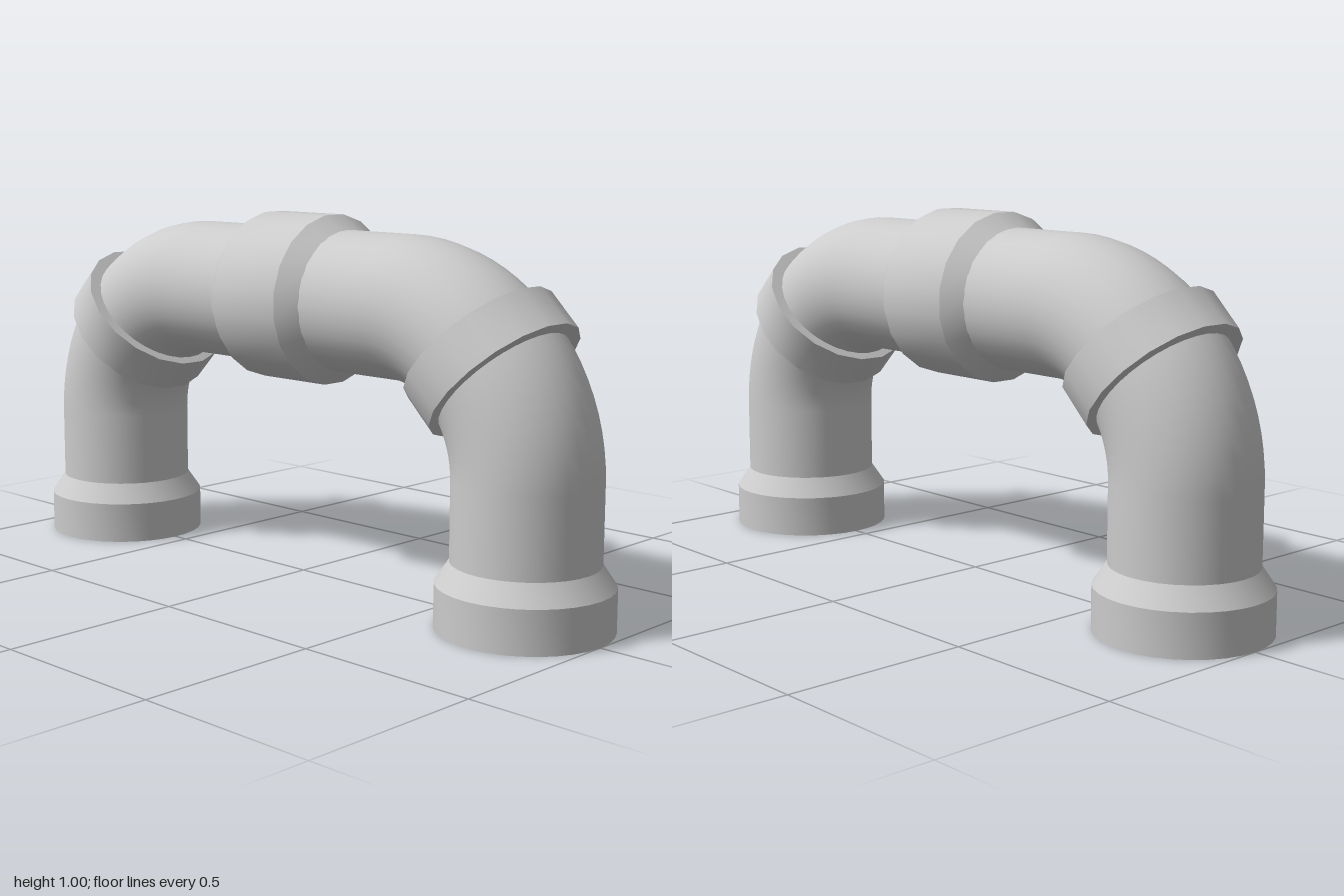
import * as THREE from 'three';
import { toCreasedNormals } from 'three/addons/utils/BufferGeometryUtils.js';

const material = new THREE.MeshStandardMaterial({ color: 0xcccccc });
const PIPE = 0.19;     // pipe radius
const FIT = 0.2275;    // fitting radius
const AXIS = 0.7725;   // distance of the pipe axes from x = 0 and y = 0
const BEND = 0.375;    // bend centre, in x and y

function add(parent, name, geometry, x, y, turn = 0) {
  const mesh = new THREE.Mesh(geometry, material);
  mesh.name = name;
  mesh.position.set(x, y, 0);
  mesh.rotation.z = turn;
  parent.add(mesh);
  return mesh;
}

// Turned fitting from [radius, height] pairs, listed bottom to top
function turned(profile, sides, phase = 0) {
  const points = profile.map(([r, h]) => new THREE.Vector2(r, h));
  return toCreasedNormals(new THREE.LatheGeometry(points, sides, phase), 0.5);
}

export function createModel() {
  const model = new THREE.Group();
  model.name = 'pipeArch';

  // Centre coupling, chamfered at both ends
  const flat = FIT / Math.cos(Math.PI / 20);
  const coupling = turned(
    [[PIPE, -0.168], [flat, -0.115], [flat, 0.115], [PIPE, 0.168]], 20, Math.PI / 20);
  add(model, 'centreCoupling', coupling, 0, AXIS, Math.PI / 2);

  // Straight pipe across the top
  const top = new THREE.CylinderGeometry(PIPE, PIPE, 2 * BEND, 32, 1, true);
  add(model, 'topPipe', top, 0, AXIS, Math.PI / 2);

  const leg = new THREE.CylinderGeometry(PIPE, PIPE, BEND - 0.1, 32, 1, true);
  const elbow = new THREE.TorusGeometry(AXIS - BEND, PIPE, 32, 20, Math.PI / 2);
  const collar = turned(
    [[0, -0.059], [0.222, -0.059], [0.222, 0.059], [0, 0.059]], 18);
  const foot = turned(
    [[0, 0], [FIT, 0], [FIT, 0.115], [PIPE, 0.17]], 32);
  const mid = BEND + (AXIS - BEND) * Math.SQRT1_2;

  // Leg, elbow, elbow collar and foot socket on each side
  for (const side of [1, -1]) {
    const half = new THREE.Group();
    half.name = side > 0 ? 'leftSide' : 'rightSide';
    half.rotation.y = side > 0 ? 0 : Math.PI;
    add(half, 'leg', leg, AXIS, (BEND + 0.1) / 2);
    add(half, 'elbow', elbow, BEND, BEND);
    add(half, 'elbowCollar', collar, mid, mid, Math.PI / 4);
    add(half, 'footSocket', foot, AXIS, 0);
    model.add(half);
  }
  return model;
}
